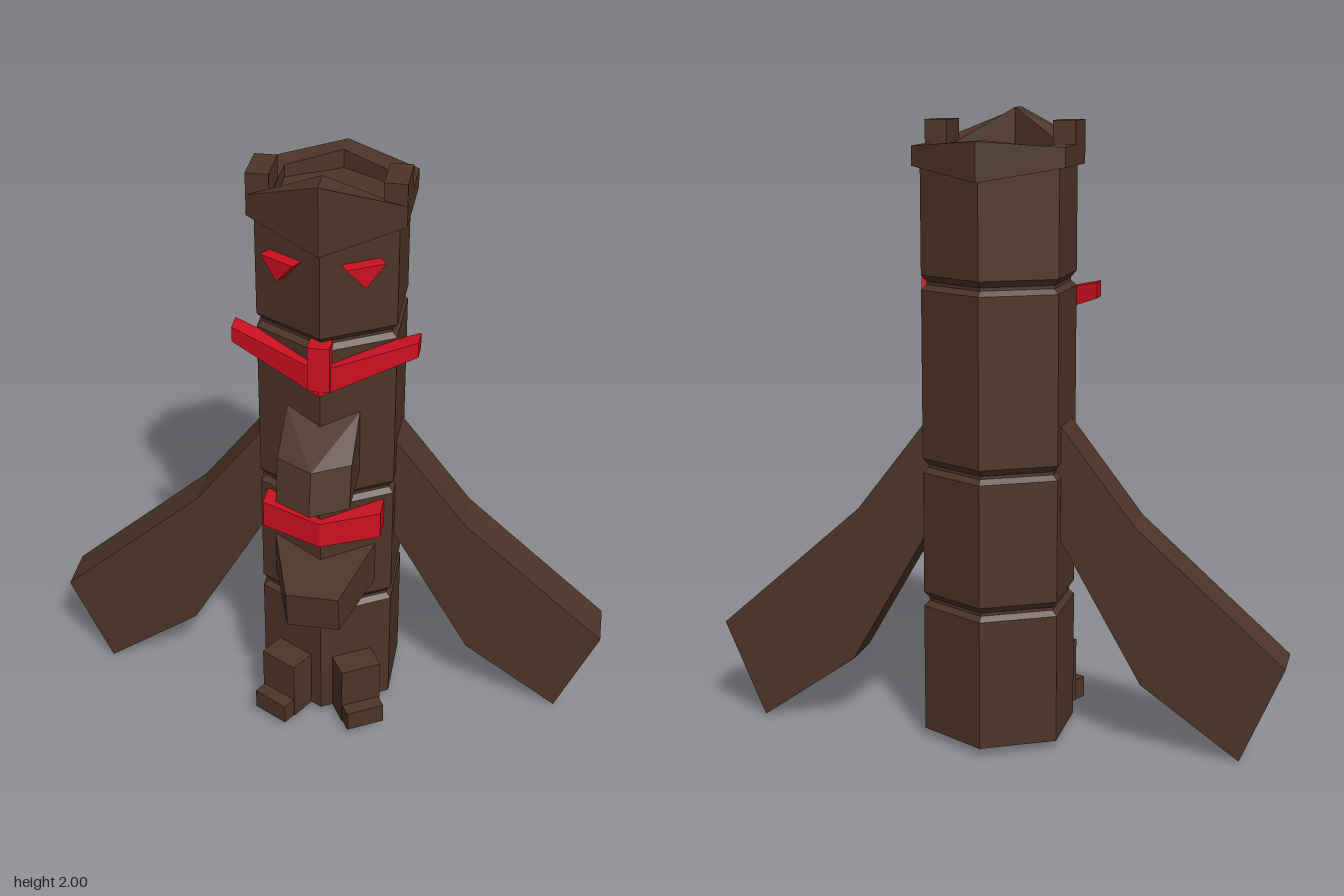
import * as THREE from 'three';
import { ConvexGeometry } from 'three/addons/geometries/ConvexGeometry.js';

const wood = new THREE.MeshStandardMaterial({ color: 0x4d3428, flatShading: true });
const red = new THREE.MeshStandardMaterial({ color: 0xcc1020, flatShading: true });
const AXIS_Z = -0.087;

function add(parent, name, geometry, material = wood) {
  const mesh = new THREE.Mesh(geometry, material);
  mesh.name = name;
  parent.add(mesh);
  return mesh;
}

function box(parent, name, [x0, x1], [y0, y1], [z0, z1], material) {
  const mesh = add(parent, name, new THREE.BoxGeometry(x1 - x0, y1 - y0, z1 - z0), material);
  mesh.position.set((x0 + x1) / 2, (y0 + y1) / 2, (z0 + z1) / 2);
}

// Solid between two cross-sections, each lying at one x and listing [y, z] corners
function loft(x0, a, x1, b) {
  const points = [...a.map(([y, z]) => [x0, y, z]), ...b.map(([y, z]) => [x1, y, z])];
  return new ConvexGeometry(points.map((p) => new THREE.Vector3(...p)));
}

// Hexagonal crown: each corner has its own bottom and top height
function crownGeometry() {
  const bottom = [1.78, 1.83, 1.83, 1.79, 1.83, 1.83];
  const top = [2.0, 1.895, 1.89, 1.91, 1.89, 1.895];
  const corner = (k, j) => {
    const i = k % 6, a = (i * Math.PI) / 3;
    const [r, y] = [[0.275, bottom[i]], [0.275, top[i]], [0.192, top[i]], [0.192, bottom[i]]][j % 4];
    return [r * Math.sin(a), y, r * Math.cos(a)];
  };
  const pos = [];
  for (let k = 0; k < 6; k++) {
    for (let j = 0; j < 4; j++) {
      const a = corner(k, j), b = corner(k + 1, j), c = corner(k + 1, j + 1), d = corner(k, j + 1);
      pos.push(...a, ...b, ...c, ...a, ...c, ...d);
    }
  }
  const g = new THREE.BufferGeometry();
  g.setAttribute('position', new THREE.Float32BufferAttribute(pos, 3));
  g.computeVertexNormals();
  return g;
}

export function createModel() {
  const model = new THREE.Group();
  model.name = 'totemPole';

  // Hexagonal pole with carved grooves
  const profile = [[0, 0.03], [0.25, 0.03]];
  for (const y of [0.465, 0.9, 1.475]) profile.push([0.25, y - 0.022], [0.232, y - 0.006], [0.232, y + 0.004], [0.25, y + 0.024]);
  profile.push([0.25, 1.85], [0, 1.85]);
  const pole = add(model, 'pole', new THREE.LatheGeometry(profile.map((p) => new THREE.Vector2(...p)), 6));
  pole.position.z = AXIS_Z;

  // Crown
  add(model, 'crown', crownGeometry()).position.z = AXIS_Z - 0.003;

  // Wing outline
  const wingShape = new THREE.Shape([
    [0.2, 1.06], [0.45, 0.735], [0.925, 0.315], [0.79, 0.003], [0.475, 0.225], [0.2, 0.705],
  ].map((p) => new THREE.Vector2(...p)));
  const eyeShape = new THREE.Shape([[-0.0625, 1.735], [0, 1.665], [0.0625, 1.735]].map((p) => new THREE.Vector2(...p)));

  for (const s of [1, -1]) {
    const side = s > 0 ? 'left' : 'right';
    const span = (a, b) => (s > 0 ? [a, b] : [-b, -a]);

    // Crown post
    box(model, side + 'CrownPost', span(0.168, 0.238), [1.86, 1.965], [-0.09, 0.048]);

    // Wing
    const shape = s > 0 ? wingShape : new THREE.Shape(wingShape.getPoints().map((p) => new THREE.Vector2(-p.x, p.y)));
    const wing = add(model, side + 'Wing', new THREE.ExtrudeGeometry(shape, { depth: 0.153, bevelEnabled: false }));
    wing.position.z = -0.167;

    // Parts set square onto the slanted front face
    const face = new THREE.Group();
    face.name = side + 'FrontFace';
    face.position.z = AXIS_Z;
    face.rotation.y = (s * Math.PI) / 6;
    model.add(face);
    const eye = add(face, side + 'Eye', new THREE.ExtrudeGeometry(eyeShape, { depth: 0.05, bevelEnabled: false }), red);
    eye.position.set(s * 0.005, 0, 0.207);
    box(face, side + 'Leg', span(-0.083, 0.055), [0.03, 0.245], [0.16, 0.307]);
    box(face, side + 'Toes', span(-0.08, 0.05), [0.03, 0.1], [0.16, 0.354]);

    // Upper red moustache
    add(model, side + 'Moustache', loft(
      0, [[1.31, 0.185], [1.4, 0.185], [1.4, 0.11], [1.31, 0.11]],
      s * 0.287, [[1.415, 0.078], [1.465, 0.078], [1.465, 0.015], [1.415, 0.015]]), red);

    // Chest beak
    add(model, side + 'UpperBeak', loft(
      0, [[0.99, 0.365], [1.125, 0.325], [1.215, 0.1], [0.99, 0.1]],
      s * 0.115, [[0.99, 0.3], [1.125, 0.26], [1.215, 0.1], [0.99, 0.1]]));

    // Lower red lip
    add(model, side + 'Lip', loft(
      0, [[0.745, 0.19], [0.835, 0.19], [0.835, 0.1], [0.745, 0.1]],
      s * 0.19, [[0.77, 0.138], [0.863, 0.138], [0.863, 0.058], [0.77, 0.058]]), red);
  }

  // Red nose
  box(model, 'nose', [-0.034, 0.034], [1.33, 1.48], [0.12, 0.186], red);

  // Lower beak, tapering forward
  const beakPoints = [];
  for (const s of [1, -1]) {
    for (const [x, y, z] of [[0.165, 0.54, 0.07], [0.165, 0.69, 0.07], [0.085, 0.645, 0.325], [0.085, 0.505, 0.302]]) {
      beakPoints.push(new THREE.Vector3(s * x, y, z));
    }
  }
  add(model, 'lowerBeak', new ConvexGeometry(beakPoints));

  return model;
}
